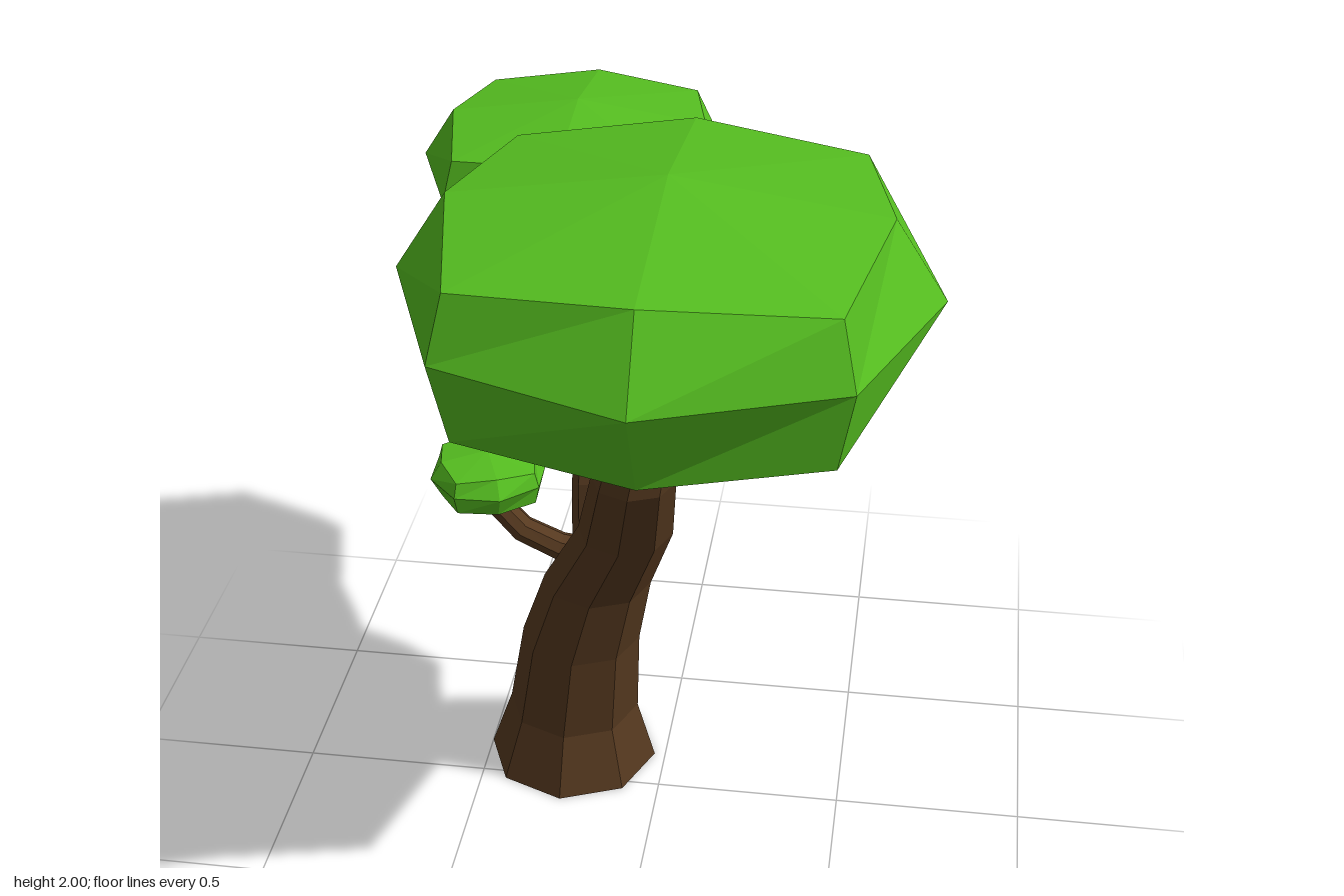
import * as THREE from 'three';

const bark = new THREE.MeshStandardMaterial({ color: 0x573a20, flatShading: true });
const leaf = new THREE.MeshStandardMaterial({ color: 0x55bd20, flatShading: true });
const SIDES = 8;

// Closed skin over a stack of eight-point rings, with a pole at each end
function skin(rings, bottom, top, material, name) {
  const pos = [], index = [];
  for (const p of [...rings.flat(), bottom, top]) pos.push(p.x, p.y, p.z);
  const b = rings.length * SIDES, t = b + 1, last = b - SIDES;
  for (let i = 0; i < SIDES; i++) {
    const j = (i + 1) % SIDES;
    for (let r = 0; r < last; r += SIDES) {
      index.push(r + i, r + SIDES + i, r + j, r + j, r + SIDES + i, r + SIDES + j);
    }
    index.push(b, i, j, t, last + j, last + i);
  }
  const geo = new THREE.BufferGeometry();
  geo.setAttribute('position', new THREE.Float32BufferAttribute(pos, 3));
  geo.setIndex(index);
  const flat = geo.toNonIndexed();
  flat.computeVertexNormals();
  const mesh = new THREE.Mesh(flat, material);
  mesh.name = name;
  return mesh;
}

// Tapering limb through points [x, y, z, radius]; rings lie level or square to the path
function limb(name, path, level = false) {
  const pts = path.map(([x, y, z]) => new THREE.Vector3(x, y, z));
  const up = new THREE.Vector3(0, 1, 0);
  const rings = pts.map((p, k) => {
    const dir = pts[Math.min(k + 1, pts.length - 1)].clone().sub(pts[Math.max(k - 1, 0)]).normalize();
    const turn = new THREE.Quaternion().setFromUnitVectors(up, level ? up : dir);
    return Array.from({ length: SIDES }, (_, i) => {
      const a = (i / SIDES) * Math.PI * 2, r = path[k][3];
      return new THREE.Vector3(Math.cos(a) * r, 0, Math.sin(a) * r).applyQuaternion(turn).add(p);
    });
  });
  return skin(rings, pts[0], pts[pts.length - 1], bark, name);
}

// Flattened rounded-cube leaf clump: rings of [height and reach on the axes, height and reach at the corners]
const clump = [
  [-0.24, 0.51, -0.205, 0.425],
  [0, 0.635, 0, 0.46],
  [0.195, 0.51, 0.16, 0.425],
];
function canopy(name, x, y, z, scale, spin = 0) {
  const rings = clump.map(([ya, ra, yc, rc]) => Array.from({ length: SIDES }, (_, i) => {
    const a = (i / SIDES) * Math.PI * 2, corner = i % 2 === 1;
    const r = corner ? rc * Math.SQRT2 : ra;
    return new THREE.Vector3(Math.cos(a) * r, corner ? yc : ya, Math.sin(a) * r);
  }));
  const mesh = skin(rings, new THREE.Vector3(0, -0.312, 0), new THREE.Vector3(0, 0.27, 0), leaf, name);
  mesh.position.set(x, y, z);
  mesh.scale.setScalar(scale);
  mesh.rotation.y = spin;
  return mesh;
}

export function createModel() {
  const tree = new THREE.Group();
  tree.name = 'tree';

  // Leaning trunk and the large branch forking off its back
  tree.add(limb('trunk', [
    [-0.265, 0, -0.135, 0.235], [-0.255, 0.19, -0.112, 0.18], [-0.22, 0.47, -0.05, 0.16],
    [-0.16, 0.7, 0.02, 0.142], [-0.065, 0.94, 0.143, 0.122], [-0.022, 1.18, 0.28, 0.105],
    [0.025, 1.42, 0.32, 0.087], [0.03, 1.5, 0.325, 0.082],
  ], true));
  tree.add(limb('mainBranch', [
    [-0.13, 0.74, 0.0, 0.1], [-0.135, 0.93, -0.08, 0.107], [-0.165, 1.125, -0.245, 0.09],
    [-0.185, 1.3, -0.53, 0.072], [-0.195, 1.43, -0.617, 0.058], [-0.2, 1.53, -0.635, 0.052],
  ]));

  // Thin twigs
  tree.add(limb('branchTwig', [
    [-0.18, 1.28, -0.46, 0.042], [-0.23, 1.315, -0.435, 0.04], [-0.33, 1.385, -0.405, 0.037],
    [-0.39, 1.46, -0.4, 0.035], [-0.41, 1.54, -0.4, 0.033],
  ]));
  tree.add(limb('trunkTwig', [
    [0, 1.28, 0.25, 0.036], [0.01, 1.31, 0.185, 0.035], [0.015, 1.37, 0.135, 0.032],
    [0.02, 1.45, 0.112, 0.029], [0.02, 1.51, 0.11, 0.027],
  ]));
  tree.add(limb('sideTwig', [
    [-0.15, 0.77, 0.01, 0.042], [-0.26, 0.787, 0.01, 0.038], [-0.36, 0.83, 0.005, 0.036],
    [-0.425, 0.9, 0, 0.034], [-0.445, 0.98, 0, 0.031],
  ]));

  // Leaf clumps
  tree.add(canopy('largeCanopy', 0.065, 1.73, 0.31, 1));
  tree.add(canopy('rearCanopy', -0.285, 1.645, -0.53, 0.654));
  tree.add(canopy('sideLeaves', -0.445, 0.998, 0.005, 0.24, Math.PI / 8));
  return tree;
}
